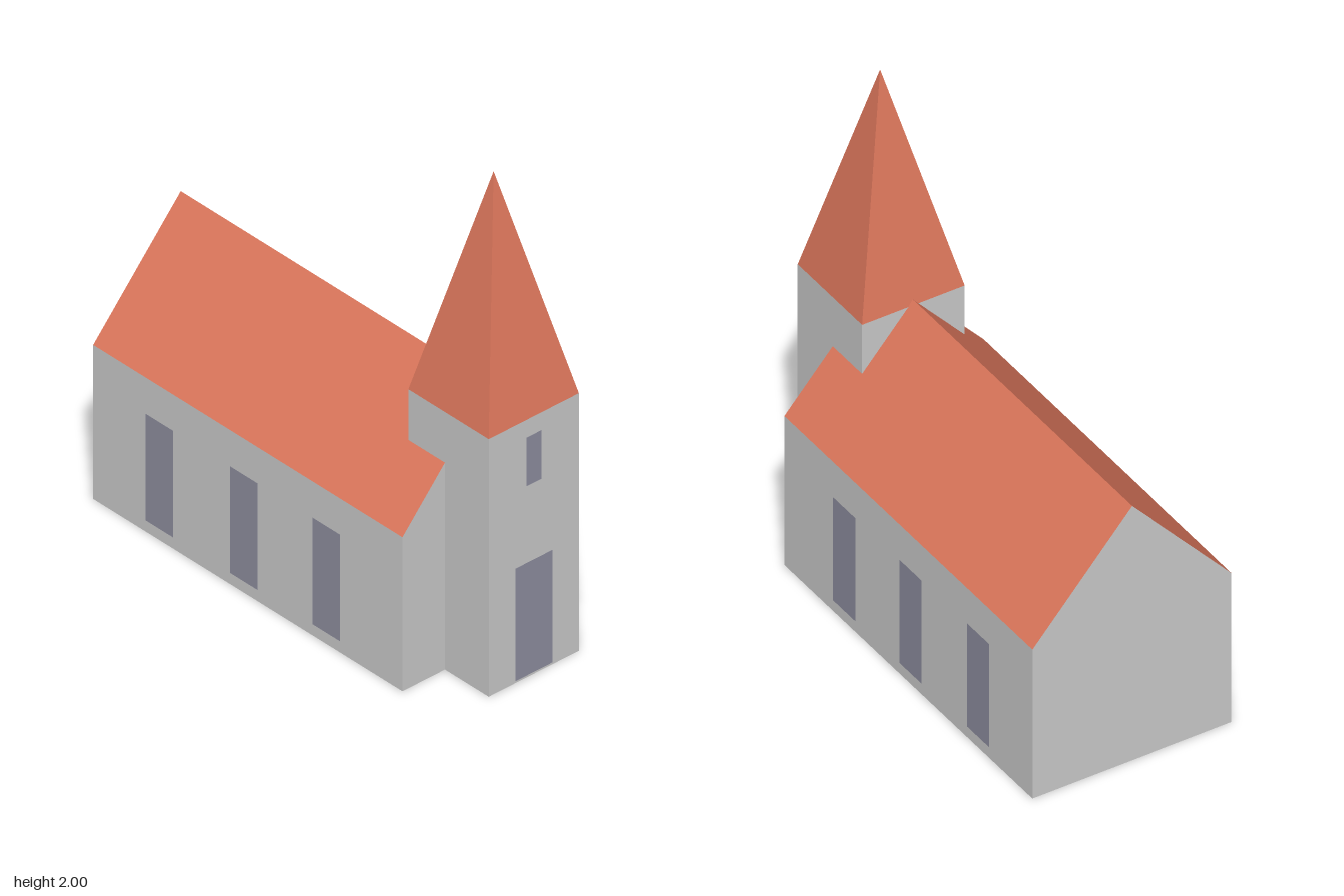
import * as THREE from 'three';

const material = (color) => new THREE.MeshStandardMaterial({ color, flatShading: true, side: THREE.DoubleSide });

// Thin-walled shell from convex flat panels, corners counter-clockwise seen from outside
function shell(name, panels, mat) {
  const positions = [];
  for (const p of panels) {
    for (let i = 1; i < p.length - 1; i++) positions.push(...p[0], ...p[i], ...p[i + 1]);
  }
  const geometry = new THREE.BufferGeometry();
  geometry.setAttribute('position', new THREE.Float32BufferAttribute(positions, 3));
  geometry.computeVertexNormals();
  const mesh = new THREE.Mesh(geometry, mat);
  mesh.name = name;
  return mesh;
}

// Flat pane standing just proud of a wall
function pane(name, width, height, position, turn, mat) {
  const mesh = new THREE.Mesh(new THREE.PlaneGeometry(width, height), mat);
  mesh.name = name;
  mesh.position.set(...position);
  mesh.rotation.y = turn;
  return mesh;
}

export function createModel() {
  const church = new THREE.Group();
  church.name = 'church';
  const wall = material(0xcccccc);
  const tile = material(0xdb765b);
  const glass = new THREE.MeshStandardMaterial({ color: 0x8f8fa0 });

  // Nave: side walls and gabled ends, open underneath
  const x0 = -0.925, x1 = 0.68, d = 0.412, eave = 0.65, ridge = 1.11;
  church.add(shell('naveWalls', [
    [[x0, 0, d], [x1, 0, d], [x1, eave, d], [x0, eave, d]],
    [[x1, 0, -d], [x0, 0, -d], [x0, eave, -d], [x1, eave, -d]],
    [[x1, 0, d], [x1, 0, -d], [x1, eave, -d], [x1, ridge, 0], [x1, eave, d]],
    [[x0, 0, -d], [x0, 0, d], [x0, eave, d], [x0, ridge, 0], [x0, eave, -d]],
  ], wall));
  church.add(shell('naveRoof', [
    [[x0, eave, d], [x1, eave, d], [x1, ridge, 0], [x0, ridge, 0]],
    [[x1, eave, -d], [x0, eave, -d], [x0, ridge, 0], [x1, ridge, 0]],
  ], tile));

  // Tower and spire share the same four corners
  const top = 1.087, apex = [0.682, 2, -0.015];
  const corners = [[0.49, 0.212], [0.907, 0.212], [0.907, -0.212], [0.49, -0.212]];
  const sides = corners.map((a, i) => [a, corners[(i + 1) % 4]]);
  church.add(shell('towerWalls', sides.map(([a, b]) => [
    [a[0], 0, a[1]], [b[0], 0, b[1]], [b[0], top, b[1]], [a[0], top, a[1]],
  ]), wall));
  church.add(shell('spire', sides.map(([a, b]) => [
    [a[0], top, a[1]], [b[0], top, b[1]], apex,
  ]), tile));

  // Three tall windows on each long side
  for (const side of [1, -1]) {
    for (const x of [-0.578, -0.14, 0.288]) {
      church.add(pane('naveWindow', 0.143, 0.45, [x, 0.275, side * (d + 0.003)], side > 0 ? 0 : Math.PI, glass));
    }
  }

  // Door and small window on the tower face
  church.add(pane('door', 0.175, 0.475, [0.91, 0.248, 0.002], Math.PI / 2, glass));
  church.add(pane('towerWindow', 0.07, 0.205, [0.91, 0.912, 0.002], Math.PI / 2, glass));

  return church;
}
